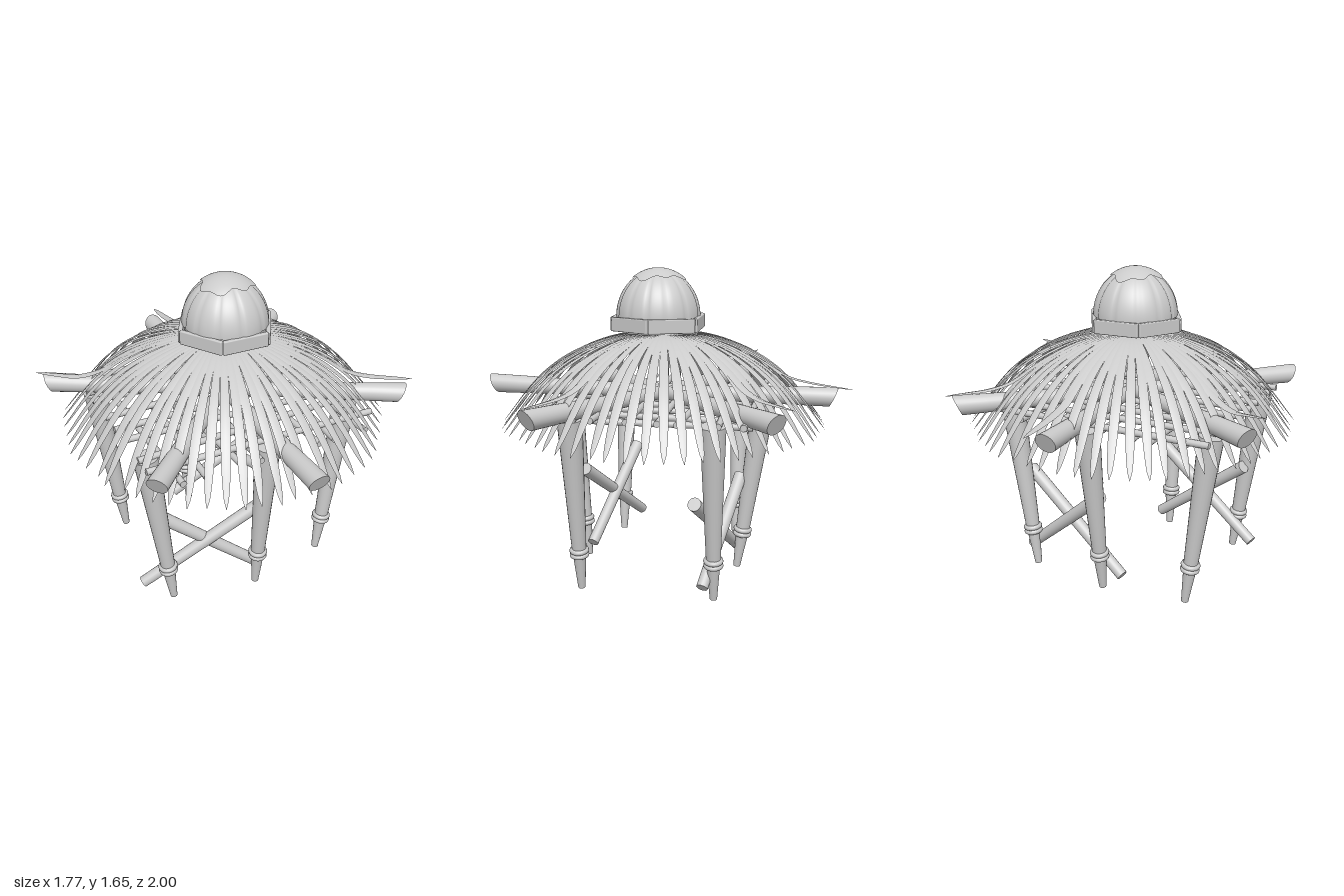
import * as THREE from 'three';
import { RoundedBoxGeometry } from 'three/addons/geometries/RoundedBoxGeometry.js';

const material = new THREE.MeshStandardMaterial({ color: 0xcccccc });
const thinMaterial = new THREE.MeshStandardMaterial({ color: 0xcccccc, side: THREE.DoubleSide });
const V = (x, y, z) => new THREE.Vector3(x, y, z);

function add(parent, name, geometry, mat = material) {
  const mesh = new THREE.Mesh(geometry, mat);
  mesh.name = name;
  parent.add(mesh);
  return mesh;
}

// Small seeded generator for natural variation
function seeded(seed) {
  return () => (seed = (seed * 16807) % 2147483647) / 2147483647;
}

// Straight pole between two points, r0 at the start and r1 at the end
function pole(parent, name, a, b, r0, r1, sides = 20) {
  const mesh = add(parent, name, new THREE.CylinderGeometry(r1, r0, a.distanceTo(b), sides));
  mesh.position.copy(a).lerp(b, 0.5);
  mesh.quaternion.setFromUnitVectors(V(0, 1, 0), b.clone().sub(a).normalize());
}

// Tapered leg with two ankle rings
function leg(parent, foot, top) {
  const group = new THREE.Group();
  group.name = 'leg';
  const length = foot.distanceTo(top);
  const profile = [[0, 0], [0.019, 0], [0.034, 0.19], [0.038, 0.24], [0.064, length], [0, length]]
    .map(([r, y]) => new THREE.Vector2(r, y));
  // Separate end caps keep their edges sharp
  add(group, 'legShaft', new THREE.LatheGeometry(profile.slice(1, 5), 20));
  add(group, 'legFootEnd', new THREE.LatheGeometry(profile.slice(0, 2), 20));
  add(group, 'legTopEnd', new THREE.LatheGeometry(profile.slice(4), 20));
  for (const y of [0.197, 0.222]) {
    const ring = add(group, 'ankleRing', new THREE.TorusGeometry(0.037, 0.014, 10, 24));
    ring.rotation.x = Math.PI / 2;
    ring.position.y = y;
  }
  group.position.copy(foot);
  group.quaternion.setFromUnitVectors(V(0, 1, 0), top.clone().sub(foot).normalize());
  parent.add(group);
}

// Radial beam that flares outward and ends in a slanted cut
function beam(parent, x, z, y) {
  const length = Math.hypot(x, z);
  const geometry = new THREE.CylinderGeometry(0.052, 0.034, length, 24, 6);
  geometry.rotateX(Math.PI / 2).translate(0, 0, length / 2);
  const p = geometry.attributes.position;
  for (let i = 0; i < p.count; i++) {
    const t = p.getZ(i) / length;
    p.setXYZ(i, p.getX(i), p.getY(i) + (y - 0.985) * t, p.getZ(i) + 0.45 * p.getY(i) * t);
  }
  geometry.computeVertexNormals();
  const mesh = add(parent, 'roofBeam', geometry);
  mesh.position.y = 0.985;
  mesh.rotation.y = Math.atan2(x, z);
}

// Long pointed leaf following a curve of (radius, height) points, running along +z
function leafGeometry(points, width) {
  const curve = new THREE.CatmullRomCurve3(points.map(([r, y]) => V(0, y, r)));
  const steps = 24, widest = 0.66, positions = [], index = [];
  for (let i = 0; i <= steps; i++) {
    const t = i / steps, c = curve.getPointAt(t);
    const taper = t < widest ? 0.2 + 0.8 * Math.sin((t / widest) * Math.PI / 2)
      : Math.sqrt(Math.max(0, 1 - ((t - widest) / (1 - widest)) ** 2));
    const w = Math.max(0.0008, width * taper / 2);
    positions.push(w, c.y, c.z, 0, c.y + w * 0.25, c.z, -w, c.y, c.z);
    if (i < steps) for (let k = 0; k < 2; k++) {
      const a = i * 3 + k;
      index.push(a, a + 3, a + 1, a + 1, a + 3, a + 4);
    }
  }
  const geometry = new THREE.BufferGeometry();
  geometry.setAttribute('position', new THREE.Float32BufferAttribute(positions, 3));
  geometry.setIndex(index);
  geometry.computeVertexNormals();
  return geometry;
}

function leafRoof(parent) {
  const roof = new THREE.Group();
  roof.name = 'leafRoof';
  const random = seeded(17);
  const inner = [[0.03, 1.302], [0.2, 1.296], [0.36, 1.253], [0.52, 1.178]];
  const drooping = leafGeometry([...inner, [0.65, 1.08], [0.75, 0.97], [0.815, 0.885], [0.86, 0.828]], 0.048);
  const count = 62;
  for (let i = 0; i < count; i++) {
    const leaf = add(roof, 'leaf', drooping, thinMaterial);
    leaf.rotation.y = ((i + 0.5) / count) * Math.PI * 2 + (random() - 0.5) * 0.02;
    leaf.scale.z = 0.985 + random() * 0.035;
  }
  // Leaves lifted by the beams underneath, with their tip heights
  for (const [x, z, tip] of [[0.03, -0.999, 1.04], [0.675, -0.735, 1.06],
    [-0.89, -0.42, 1.095], [0.88, 0.48, 1.055]]) {
    const reach = Math.hypot(x, z);
    const lifted = leafGeometry([...inner, [0.66, 1.095], [0.77, 1.068],
      [0.88, (1.065 + tip) / 2], [reach, tip]], 0.05);
    add(roof, 'liftedLeaf', lifted, thinMaterial).rotation.y = Math.atan2(x, z);
  }
  parent.add(roof);
}

// Ribbed dome shell; reach(angle) gives how far down from the crown it runs
function domeGeometry(radius, height, reach, groove) {
  const geometry = new THREE.SphereGeometry(1, 96, 28, 0, Math.PI * 2, 0, Math.PI / 2);
  const p = geometry.attributes.position, uv = geometry.attributes.uv;
  for (let i = 0; i < p.count; i++) {
    const a = uv.getX(i) * Math.PI * 2;
    const polar = (1 - uv.getY(i)) * reach(a);
    const lobe = Math.abs(Math.sin(a * 6 + 0.4 + 0.35 * Math.sin(a * 2)));
    const r = 1 - groove * Math.pow(1 - lobe, 4) * Math.sin(polar);
    p.setXYZ(i, -Math.cos(a) * Math.sin(polar) * radius * r, Math.cos(polar) * height * r,
      Math.sin(a) * Math.sin(polar) * radius * r);
  }
  geometry.computeVertexNormals();
  return geometry;
}

function cap(parent) {
  const group = new THREE.Group();
  group.name = 'cap';
  group.position.set(-0.002, 0, 0.032);
  const dome = add(group, 'dome', domeGeometry(0.223, 0.245, () => Math.PI / 2, 0.04), thinMaterial);
  dome.position.y = 1.393;
  const crown = add(group, 'crown', domeGeometry(0.228, 0.253,
    (a) => 0.62 + 0.06 * Math.sin(3 * a) + 0.05 * Math.sin(7 * a + 1), 0), thinMaterial);
  crown.position.y = 1.393;
  const base = add(group, 'domeBase', new THREE.CylinderGeometry(0.215, 0.205, 0.06, 48));
  base.position.y = 1.365;
  // Six planks around the dome
  for (let i = 0; i < 6; i++) {
    const holder = new THREE.Group();
    holder.name = 'bandSide';
    holder.rotation.y = i * Math.PI / 3;
    const plank = add(holder, 'bandPlank', new RoundedBoxGeometry(0.25, 0.074, 0.024, 2, 0.006));
    plank.position.set(0, 1.361, 0.219);
    plank.rotation.z = (i % 2 ? 1 : -1) * 0.015;
    group.add(holder);
  }
  parent.add(group);
}

export function createModel() {
  const model = new THREE.Group();
  model.name = 'thatchedShelter';

  // Legs: front and back in the middle, and one at each corner
  leg(model, V(-0.03, 0, 0.45), V(-0.025, 0.94, 0.535));
  leg(model, V(-0.03, 0, -0.41), V(-0.025, 0.94, -0.535));
  for (const z of [0.357, -0.345]) {
    leg(model, V(-0.48, 0, z), V(-0.6, 0.94, z * 1.01));
    leg(model, V(0.42, 0, z), V(0.54, 0.94, z * 1.01));
  }

  // Crossed braces on two opposite sides
  for (const [bottom, top] of [
    [V(-0.62, 0.085, 0.275), V(0.03, 0.53, 0.445)],
    [V(0.01, 0.085, 0.415), V(-0.55, 0.53, 0.285)],
    [V(-0.14, 0.085, -0.395), V(0.5, 0.53, -0.255)],
    [V(0.485, 0.085, -0.295), V(-0.03, 0.53, -0.42)],
  ]) pole(model, 'brace', bottom, top, 0.03, 0.035);

  // Radial beams under the roof
  for (const [x, z, y] of [[-0.015, 0.977, 0.992], [-0.02, -0.9, 0.99], [-0.815, -0.46, 1],
    [0.815, 0.48, 0.99], [0.665, -0.655, 0.99], [-0.67, 0.665, 0.99]]) beam(model, x, z, y);

  // Lattice of thin rods resting on the legs
  const lattice = new THREE.Group();
  lattice.name = 'lattice';
  const rods = 8;
  for (let i = 0; i < rods; i++) {
    const t = i / (rods - 1) - 0.5, skew = 0.03 * Math.sin(i * 2.3);
    pole(lattice, 'crossRod', V(-0.65, 0.95, t + skew), V(0.6, 0.95, t - skew), 0.017, 0.017, 12);
    pole(lattice, 'longRod', V(t - 0.02 + skew, 0.923, -0.53), V(t - 0.02 - skew, 0.923, 0.62), 0.017, 0.017, 12);
  }
  model.add(lattice);

  leafRoof(model);
  cap(model);
  return model;
}
